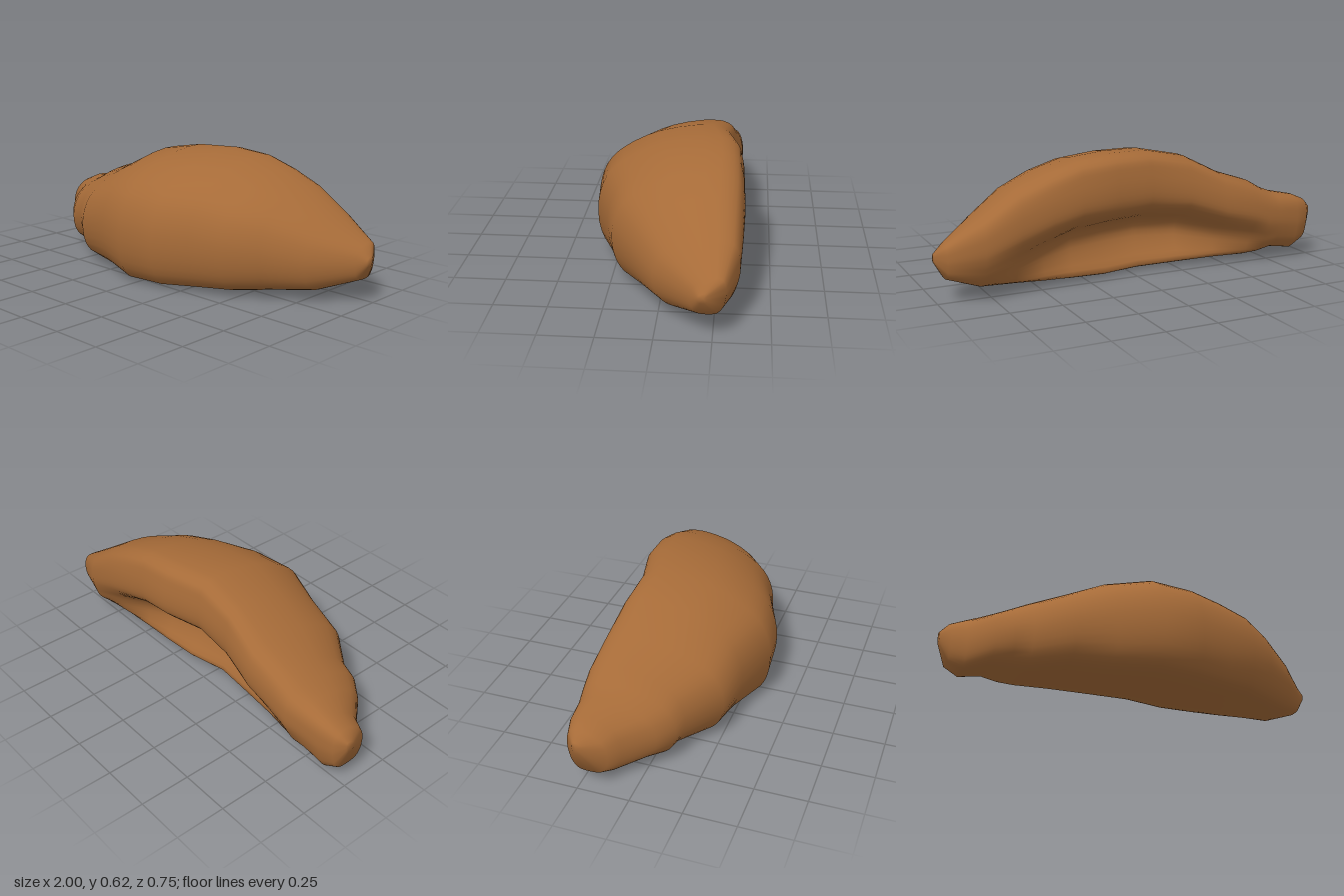
import * as THREE from 'three';

// Cross-sections along x: [x, bottom y, top y, back z, front z, hollow 0..1]
const STATIONS = [
  [-1, 0.2, 0.26, -0.26, -0.21, 0],
  [-0.96, 0.08, 0.3, -0.3, -0.11, 0],
  [-0.89, 0.04, 0.33, -0.32, -0.075, 0],
  [-0.78, 0.05, 0.35, -0.33, 0.05, 0],
  [-0.7, 0.03, 0.38, -0.345, 0.115, 0.1],
  [-0.62, 0.025, 0.425, -0.35, 0.13, 0.3],
  [-0.45, 0.02, 0.48, -0.35, 0.26, 0.65],
  [-0.26, 0.01, 0.575, -0.325, 0.29, 0.95],
  [-0.05, 0, 0.615, -0.315, 0.37, 1],
  [0.15, 0, 0.62, -0.365, 0.35, 1],
  [0.33, 0.01, 0.605, -0.37, 0.28, 0.9],
  [0.48, 0.02, 0.56, -0.375, 0.24, 0.65],
  [0.63, 0.035, 0.5, -0.37, 0.14, 0.3],
  [0.8, 0.05, 0.385, -0.36, 0.02, 0],
  [0.96, 0.11, 0.28, -0.305, -0.15, 0],
  [1, 0.18, 0.225, -0.23, -0.185, 0],
];

// Normalised section outlines (back to front, bottom to top), from the front over the top
const SOLID = [
  [0.82, 0.04], [0.95, 0.18], [1, 0.42], [0.95, 0.65], [0.84, 0.8], [0.58, 0.95],
  [0.24, 1], [0.08, 0.93], [0.02, 0.82], [0, 0.67], [0, 0.52], [0.02, 0.4],
  [0.05, 0.29], [0.09, 0.19], [0.16, 0.1], [0.25, 0.03], [0.4, 0], [0.62, 0],
];
const HOLLOW = [
  [0.9, 0.03], [0.985, 0.18], [1, 0.44], [0.94, 0.65], [0.82, 0.79], [0.55, 0.94],
  [0.16, 1], [0.05, 0.95], [0.02, 0.86], [0, 0.7], [0.02, 0.59], [0.12, 0.5],
  [0.26, 0.42], [0.32, 0.31], [0.28, 0.17], [0.22, 0.05], [0.3, 0.008], [0.62, 0.005],
];
const SIDES = 54;

function section([x, y0, y1, z0, z1, hollow]) {
  const points = SOLID.map(([u, v], i) => {
    const a = THREE.MathUtils.lerp(u, HOLLOW[i][0], hollow);
    const b = THREE.MathUtils.lerp(v, HOLLOW[i][1], hollow);
    return new THREE.Vector3(x, y0 + b * (y1 - y0), z0 + a * (z1 - z0));
  });
  return new THREE.CatmullRomCurve3(points, true).getPoints(SIDES).slice(0, SIDES);
}

// Skin the rings and close both ends with a centre point
function skin(rings) {
  const positions = [];
  const index = [];
  rings.flat().forEach((p) => positions.push(p.x, p.y, p.z));
  const last = rings.length - 1;
  const poles = [rings[0], rings[last]].map((ring) => {
    const c = ring.reduce((sum, p) => sum.add(p), new THREE.Vector3()).divideScalar(SIDES);
    positions.push(c.x, c.y, c.z);
    return positions.length / 3 - 1;
  });
  for (let j = 0; j < SIDES; j++) {
    const k = (j + 1) % SIDES;
    for (let i = 0; i < last; i++) {
      const a = i * SIDES, b = a + SIDES;
      index.push(a + j, b + j, b + k, a + j, b + k, a + k);
    }
    index.push(poles[0], j, k, poles[1], last * SIDES + k, last * SIDES + j);
  }
  const geometry = new THREE.BufferGeometry();
  geometry.setAttribute('position', new THREE.Float32BufferAttribute(positions, 3));
  geometry.setIndex(index);
  geometry.computeVertexNormals();
  return geometry;
}

export function createModel() {
  const brown = new THREE.MeshStandardMaterial({ color: 0xa66b38 });
  brown.name = 'earthBrown';

  // One curved boulder with a hollow back under the top ridge
  const boulder = new THREE.Mesh(skin(STATIONS.map(section)), brown);
  boulder.name = 'boulder';

  const group = new THREE.Group();
  group.name = 'rock';
  group.add(boulder);
  return group;
}
